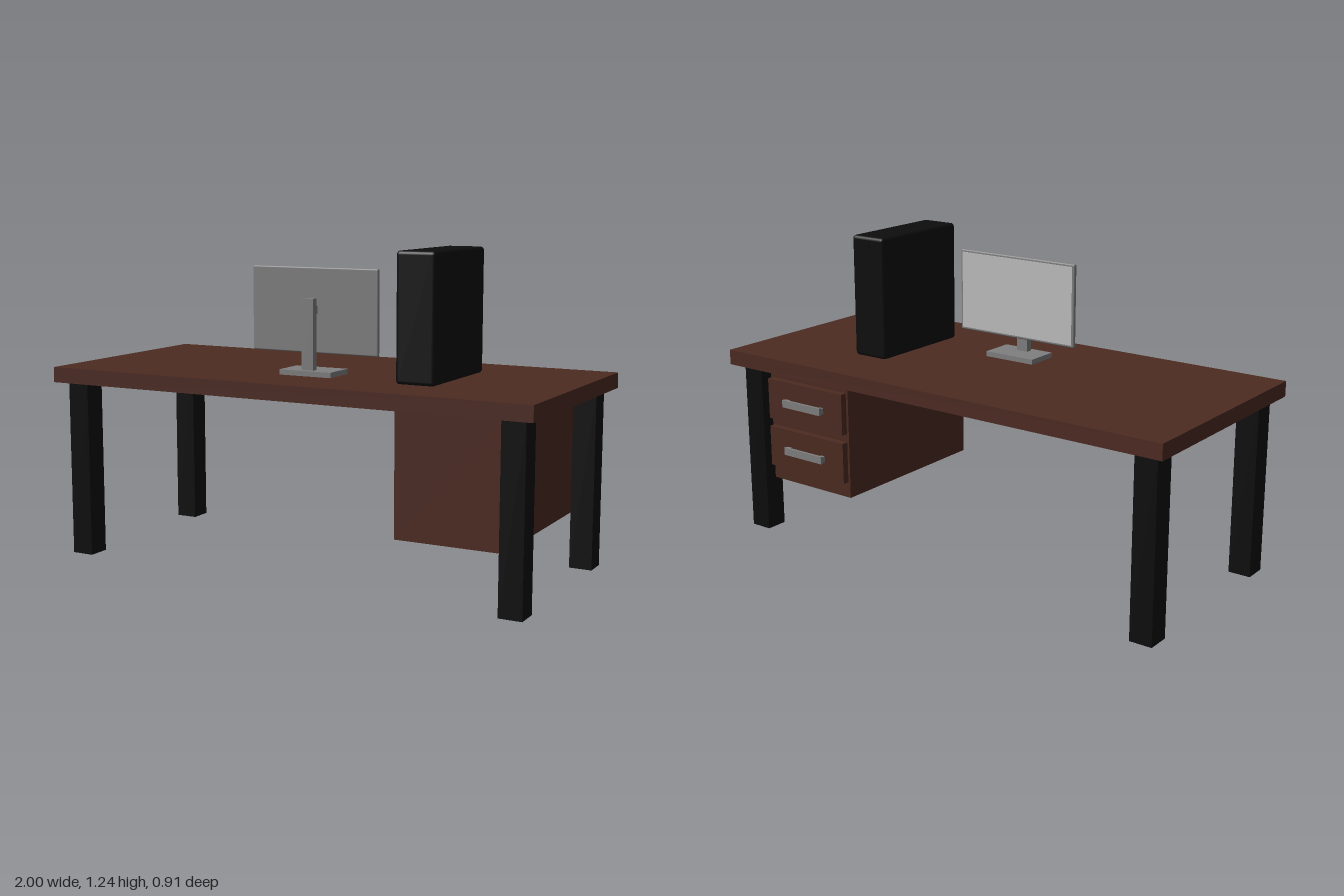
import * as THREE from 'three';
import { RoundedBoxGeometry } from 'three/addons/geometries/RoundedBoxGeometry.js';

function material(name, color) {
  const m = new THREE.MeshStandardMaterial({ color });
  m.name = name;
  return m;
}

export function createModel() {
  const wood = material('dark wood', 0x4d2b22);
  const black = material('black', 0x0d0d0d);
  const grey = material('grey', 0x808080);
  const screenGrey = material('pale screen', 0xbebebe);

  const model = new THREE.Group();
  model.name = 'desk';

  // Box given by its extents on each axis; a radius rounds its edges
  function box(name, mat, [x0, x1], [y0, y1], [z0, z1], radius = 0) {
    const size = [x1 - x0, y1 - y0, z1 - z0];
    const geometry = radius
      ? new RoundedBoxGeometry(...size, 3, radius)
      : new THREE.BoxGeometry(...size);
    const mesh = new THREE.Mesh(geometry, mat);
    mesh.name = name;
    mesh.position.set((x0 + x1) / 2, (y0 + y1) / 2, (z0 + z1) / 2);
    model.add(mesh);
    return mesh;
  }

  // Table top and four square legs
  box('tableTop', wood, [-1, 1], [0.695, 0.755], [-0.455, 0.455]);
  for (const x of [-0.915, 0.915]) {
    for (const z of [-0.367, 0.367]) {
      box('leg', black, [x - 0.045, x + 0.045], [0, 0.695], [z - 0.045, z + 0.045]);
    }
  }

  // Hanging cabinet with two drawers on the sitting side
  box('cabinet', wood, [0.45, 0.865], [0.215, 0.69], [-0.365, 0.365]);
  for (const y of [0.3625, 0.5625]) {
    box('drawerFront', wood, [0.46, 0.855], [y - 0.083, y + 0.083], [-0.392, -0.365]);
    box('drawerHandle', grey, [0.557, 0.757], [y - 0.015, y + 0.015], [-0.416, -0.405]);
    for (const x of [0.567, 0.747]) {
      box('handlePost', grey, [x - 0.01, x + 0.01], [y - 0.012, y + 0.012], [-0.406, -0.391]);
    }
  }

  // Monitor facing the sitting side, on a post and foot
  box('monitorFoot', grey, [-0.11, 0.11], [0.755, 0.775], [0.08, 0.215]);
  box('monitorPost', grey, [-0.025, 0.025], [0.775, 1.045], [0.167, 0.193]);
  box('monitorMount', grey, [-0.015, 0.015], [0.985, 1.015], [0.138, 0.168]);
  box('monitorBody', grey, [-0.27, 0.27], [0.835, 1.16], [0.125, 0.141], 0.006);
  box('monitorScreen', screenGrey, [-0.26, 0.26], [0.845, 1.15], [0.123, 0.127]);

  // Computer tower with a power button
  box('computerTower', black, [0.39, 0.545], [0.755, 1.235], [-0.209, 0.243], 0.014);
  const button = new THREE.Mesh(new THREE.CylinderGeometry(0.01, 0.01, 0.008, 16), black);
  button.name = 'powerButton';
  button.rotation.x = Math.PI / 2;
  button.position.set(0.4675, 1.2, -0.21);
  model.add(button);

  return model;
}
